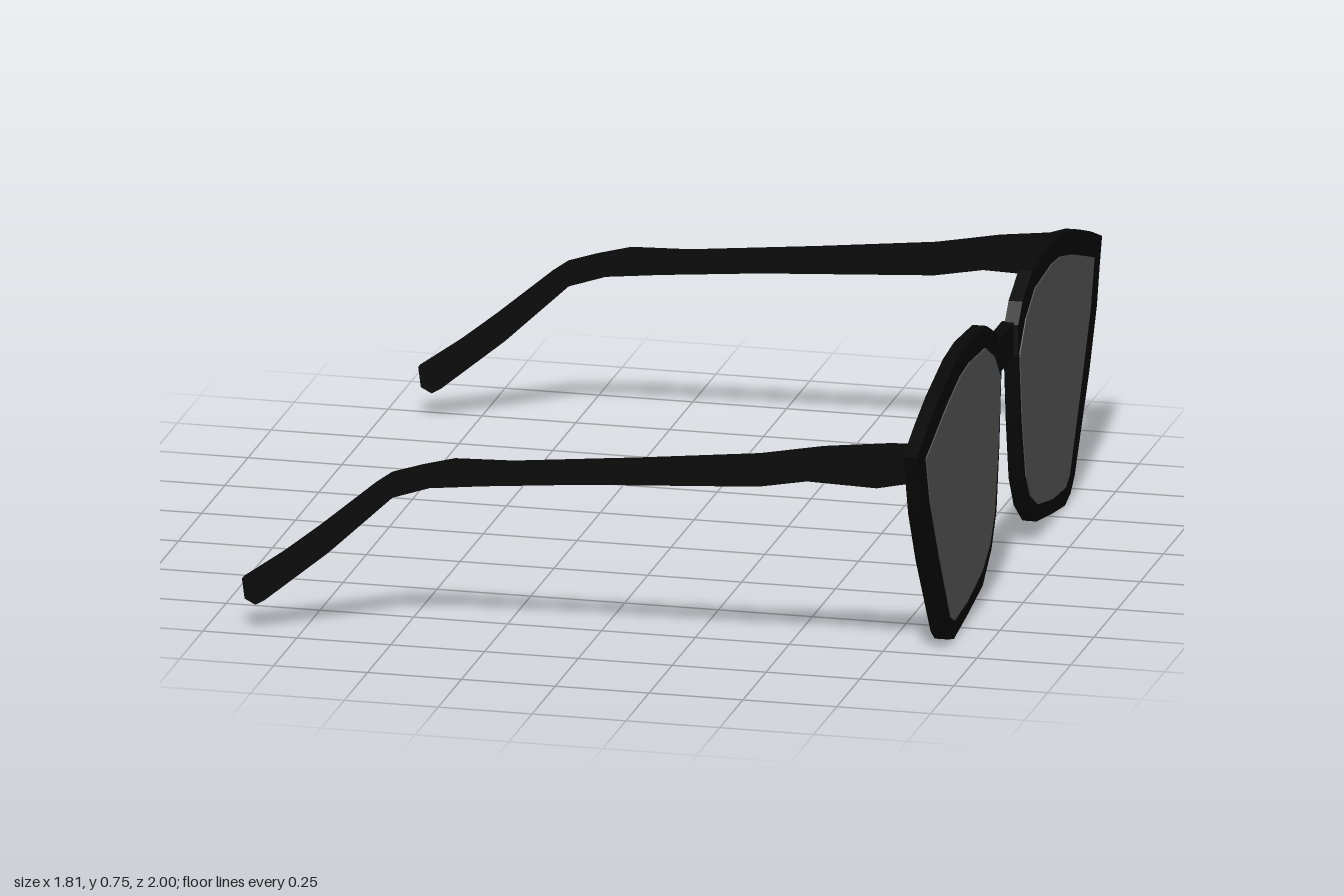
import * as THREE from 'three';

const black = new THREE.MeshStandardMaterial({ color: 0x080808 });
const grey = new THREE.MeshStandardMaterial({ color: 0x555555 });

// Outlines of one side: [z, y] for the front, [x, y] for the temple
const frameOutline = [
  [1, 0.61], [0.88, 0.658], [0.758, 0.7], [0.57, 0.745], [0.447, 0.755], [0.25, 0.742],
  [0.14, 0.69], [0.094, 0.64], [0.088, 0.56], [0.11, 0.37], [0.14, 0.21], [0.195, 0.12],
  [0.29, 0.05], [0.46, 0.02], [0.6, 0], [0.66, 0.016], [0.704, 0.05], [0.865, 0.29],
  [0.945, 0.44], [0.972, 0.53],
];
const lensOutline = [
  [0.908, 0.58], [0.68, 0.656], [0.54, 0.692], [0.447, 0.7], [0.27, 0.688], [0.17, 0.635],
  [0.104, 0.56], [0.13, 0.37], [0.17, 0.21], [0.22, 0.14], [0.3, 0.094], [0.46, 0.06],
  [0.6, 0.05], [0.64, 0.07], [0.76, 0.265], [0.865, 0.45],
];
const templeOutline = [
  [0.888, 0.63], [0.81, 0.625], [0.64, 0.605], [0.47, 0.573], [0.153, 0.538], [-0.187, 0.504],
  [-0.343, 0.499], [-0.43, 0.476], [-0.51, 0.45], [-0.552, 0.42], [-0.7, 0.294], [-0.796, 0.217],
  [-0.905, 0.139], [-0.898, 0.085], [-0.869, 0.07], [-0.844, 0.085], [-0.674, 0.226],
  [-0.504, 0.387], [-0.406, 0.42], [-0.26, 0.436], [0.007, 0.46], [0.47, 0.489], [0.6, 0.513],
  [0.786, 0.508], [0.888, 0.53],
];

function plate(name, points, depth, material) {
  const shape = new THREE.Shape(points.map(([a, b]) => new THREE.Vector2(a, b)));
  const mesh = new THREE.Mesh(
    new THREE.ExtrudeGeometry(shape, { depth, bevelEnabled: false }), material);
  mesh.name = name;
  return mesh;
}

// Plate facing +x whose front surface lies at x = front
function frontPlate(name, points, side, front, depth, material) {
  const mesh = plate(name, points.map(([z, y]) => [z * side, y]), depth, material);
  mesh.rotation.y = -Math.PI / 2;
  mesh.position.x = front;
  return mesh;
}

export function createModel() {
  const model = new THREE.Group();
  model.name = 'sunglasses';

  for (const side of [1, -1]) {
    // Solid frame plate with the lens set flush in its front
    model.add(frontPlate('frame', frameOutline, side, 0.902, 0.037, black));
    model.add(frontPlate('lens', lensOutline, side, 0.905, 0.01, grey));

    // Flat temple arm with its bent ear end
    const temple = plate('temple', templeOutline, 0.024, black);
    temple.position.z = side * 0.952 - 0.012;
    model.add(temple);
  }

  // Bridge, set slightly behind the front
  const bridge = new THREE.Mesh(new THREE.BoxGeometry(0.034, 0.09, 0.21), black);
  bridge.name = 'bridge';
  bridge.position.set(0.873, 0.6, 0);
  model.add(bridge);

  return model;
}
